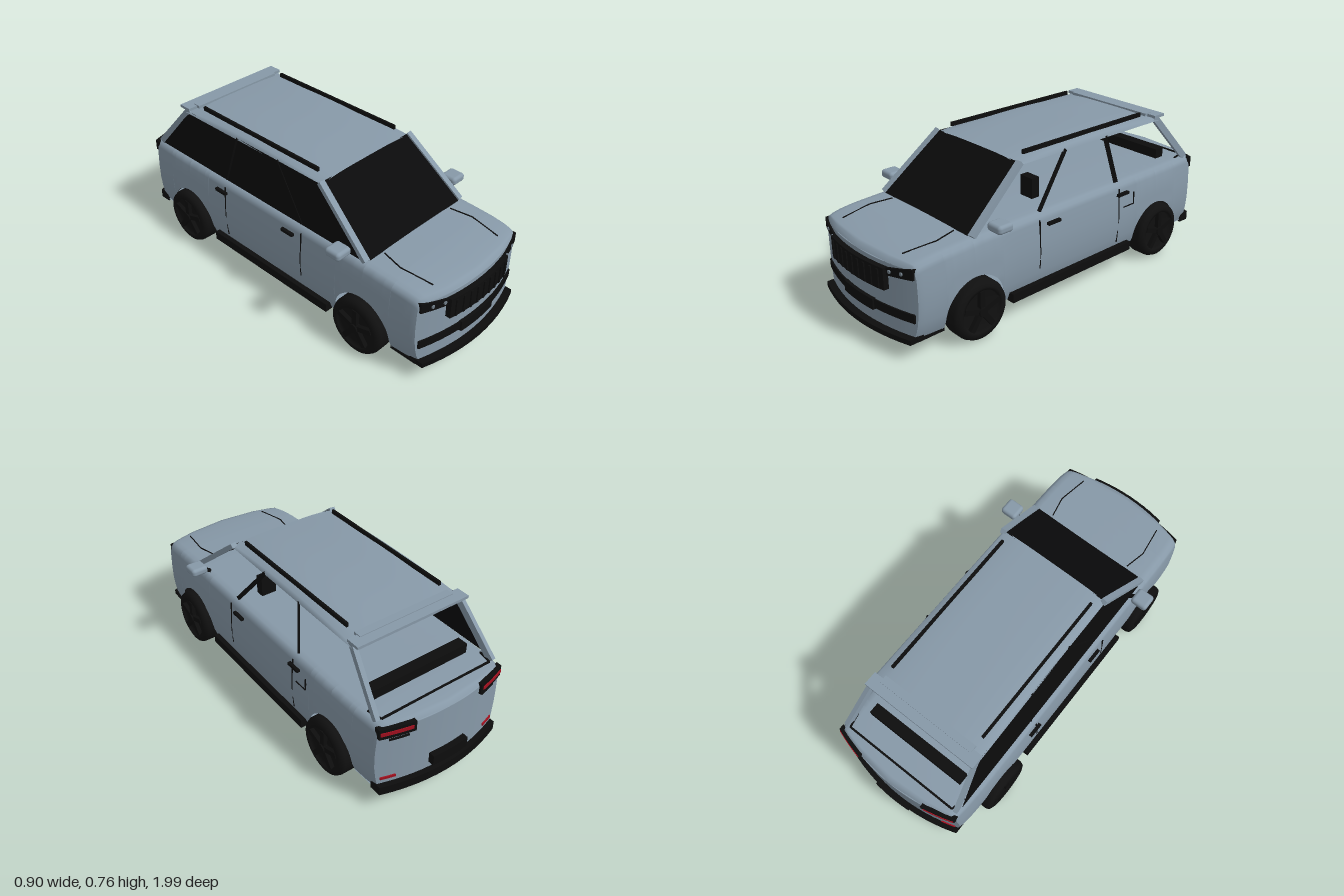
import * as THREE from 'three';
import { RoundedBoxGeometry } from 'three/addons/geometries/RoundedBoxGeometry.js';

const mat = (name, color, side = THREE.FrontSide) => {
  const m = new THREE.MeshStandardMaterial({ color, side });
  m.name = name;
  return m;
};
const paint = mat('blueGreyPaint', 0x8799a8, THREE.DoubleSide);
const black = mat('blackTrim', 0x0d0d0d);
const glass = mat('darkGlass', 0x0a0a0b, THREE.DoubleSide);
const rubber = mat('tyreRubber', 0x101010);
const red = mat('redLamp', 0xa3101f);
const lamp = mat('lampLens', 0x6f7c86);

const WHEEL_Y = 0.145, ARCHES = [[0.6, 0.16], [-0.6, 0.153]];
const { lerp, clamp } = THREE.MathUtils;

// Piecewise linear lookup through [key, value] pairs
function table(pairs, t) {
  if (t <= pairs[0][0]) return pairs[0][1];
  for (let i = 1; i < pairs.length; i++) {
    const [k0, v0] = pairs[i - 1], [k1, v1] = pairs[i];
    if (t <= k1) return lerp(v0, v1, (t - k0) / (k1 - k0));
  }
  return pairs[pairs.length - 1][1];
}

// Surface through equal-length rows of [x, y, z] points
function grid(rows) {
  const n = rows[0].length, index = [];
  for (let i = 0; i < rows.length - 1; i++)
    for (let j = 0; j < n - 1; j++) {
      const a = i * n + j, b = a + n;
      index.push(a, b, a + 1, b, b + 1, a + 1);
    }
  const g = new THREE.BufferGeometry();
  g.setAttribute('position', new THREE.Float32BufferAttribute(rows.flat(2), 3));
  g.setIndex(index);
  g.computeVertexNormals();
  return g;
}

// Plan-view bow of the nose and tail
function bowZ(x, z) {
  const s = clamp((Math.abs(z) - 0.76) / 0.2, 0, 1);
  return z - Math.sign(z) * 0.065 * s * s * (x / 0.36) ** 2;
}

const topY = z => table([[-0.96, 0.45], [-0.945, 0.472], [-0.87, 0.48], [0.55, 0.48],
  [0.75, 0.472], [0.88, 0.462], [0.945, 0.45], [0.96, 0.43]], z);
const sideX = y => table([[0.1, 0.345], [0.15, 0.364], [0.25, 0.376], [0.38, 0.374], [0.45, 0.364]], y);

// Right half of the body section at z, from the lower edge to the centre line
function section(z) {
  let low = 0.1;
  for (const [c, r] of ARCHES) {
    const d = Math.abs(z - c);
    if (d <= r) low = WHEEL_Y + Math.sqrt(r * r - d * d);
  }
  const top = topY(z), shoulder = top - 0.04, taper = 1 - 0.05 * Math.abs(z / 0.96) ** 8;
  const pts = [0, 0.12, 0.25, 0.45, 0.7, 1].map(f => {
    const y = lerp(low, shoulder, f);
    return [sideX(y) * taper, y];
  });
  const w = pts[5][0];
  return [...pts, [w - 0.007, top - 0.018], [w - 0.024, top - 0.006], [w - 0.05, top - 0.002],
    [0.2, top + 0.001], [0, top + 0.002]];
}

function bodyShell() {
  const zs = [];
  for (let i = 0; i <= 32; i++) zs.push(-0.96 + i * 0.06);
  zs.push(-0.945, 0.945, 0.93, -0.93);
  for (const [c, r] of ARCHES) {
    zs.push(c - r - 0.0005, c + r + 0.0005);
    for (let i = 0; i <= 20; i++) zs.push(c + r * Math.cos(i * Math.PI / 20));
  }
  zs.sort((a, b) => a - b);
  return grid(zs.map(z => {
    const h = section(z);
    return [...h, ...h.slice(0, -1).reverse().map(([x, y]) => [-x, y])].map(([x, y]) => [x, y, bowZ(x, z)]);
  }));
}

// Nose or tail face closing the shell
function endFace(z) {
  return grid(section(z).map(([x, y]) => {
    const row = [];
    for (let k = -8; k <= 8; k++) row.push([x * k / 8 * Math.sign(-z), y, bowZ(x * k / 8, z)]);
    return row;
  }));
}

// Plate on the nose (end = 1) or tail (end = -1), following the bow
// quad: lower x0, lower x1, upper x1, upper x0 corners as [x, y]
function panelGeometry([a, b, c, d], depth, end, proud) {
  const g = new THREE.BoxGeometry(1, 1, 1, 12, 1, 1), p = g.attributes.position;
  for (let i = 0; i < p.count; i++) {
    const u = p.getX(i) + 0.5, v = p.getY(i) + 0.5;
    const x = lerp(lerp(a[0], b[0], u), lerp(d[0], c[0], u), v);
    const y = lerp(lerp(a[1], b[1], u), lerp(d[1], c[1], u), v);
    const out = p.getZ(i) * end > 0 ? proud : proud - depth;
    p.setXYZ(i, x, y, bowZ(x, 0.96 * end) + end * out);
  }
  g.computeVertexNormals();
  return g;
}
const rect = (x0, x1, y0, y1) => [[x0, y0], [x1, y0], [x1, y1], [x0, y1]];

function floorGeometry() {
  const right = [[0.34, -0.9]];
  for (const [c, r] of [...ARCHES].reverse())
    right.push([0.345, c - r], [0.27, c - r], [0.27, c + r], [0.345, c + r]);
  right.push([0.335, 0.9], [0.2, 0.94]);
  const all = [[0.2, -0.94], ...right];
  const outline = [...all, ...all.map(([x, z]) => [-x, z]).reverse()];
  const g = new THREE.ShapeGeometry(new THREE.Shape(outline.map(([x, z]) => new THREE.Vector2(x, z))));
  return g.rotateX(Math.PI / 2).translate(0, 0.1, 0);
}

function roofGeometry() {
  const rows = [];
  for (let i = 0; i <= 14; i++) {
    const z = lerp(-0.67, 0.29, i / 14), crown = 0.735 + 0.02 * (1 - ((z + 0.19) / 0.48) ** 2);
    const half = lerp(0.3, 0.292, i / 14), row = [[half + 0.01, 0.715, z]];
    for (let k = 6; k >= -6; k--) row.push([half * k / 6, crown - 0.014 * (k / 6) ** 4, z]);
    row.push([-half - 0.01, 0.715, z]);
    rows.push(row);
  }
  return grid(rows);
}

function makeWheel() {
  const wheel = new THREE.Group();
  const add = (name, geo, material) => {
    const m = new THREE.Mesh(geo, material);
    m.name = name;
    wheel.add(m);
    return m;
  };
  // Profile as [radius, distance along the axle]
  const profile = [[0, -0.06], [0.125, -0.06], [0.139, -0.05], [0.145, -0.03], [0.145, 0.035],
    [0.138, 0.052], [0.118, 0.06], [0.104, 0.058], [0.1, 0.04], [0, 0.04]];
  add('tyre', new THREE.LatheGeometry(profile.map(p => new THREE.Vector2(...p)), 32).rotateZ(-Math.PI / 2), rubber);
  add('hub', new THREE.CylinderGeometry(0.022, 0.026, 0.03, 16).rotateZ(-Math.PI / 2).translate(0.053, 0, 0), black);
  for (let i = 0; i < 5; i++)
    add('spoke', new THREE.BoxGeometry(0.022, 0.088, 0.026).translate(0.05, 0.058, 0), black)
      .rotation.x = i * Math.PI * 2 / 5;
  return wheel;
}

export function createModel() {
  const car = new THREE.Group();
  car.name = 'car';
  const add = (name, geo, material, x = 0, y = 0, z = 0) => {
    const m = new THREE.Mesh(geo, material);
    m.name = name;
    m.position.set(x, y, z);
    car.add(m);
    return m;
  };
  const box = (name, material, w, h, d, x, y, z) => add(name, new THREE.BoxGeometry(w, h, d), material, x, y, z);
  const bar = (name, material, a, b, w, h) => {
    const p = new THREE.Vector3(...a), q = new THREE.Vector3(...b);
    const m = add(name, new THREE.BoxGeometry(w, h, p.distanceTo(q)), material);
    m.position.lerpVectors(p, q, 0.5);
    m.lookAt(q);
  };
  const panel = (name, material, quad, depth, end, proud) =>
    add(name, panelGeometry(quad, depth, end, proud), material);

  // Body and roof
  add('bodyShell', bodyShell(), paint);
  add('noseFace', endFace(0.96), paint);
  add('tailFace', endFace(-0.96), paint);
  add('floor', floorGeometry(), paint);
  add('roof', roofGeometry(), paint);
  box('spoiler', paint, 0.62, 0.014, 0.07, 0, 0.737, -0.668);
  box('spoilerCentre', paint, 0.52, 0.014, 0.04, 0, 0.741, -0.635);

  // Glass: windscreen and the right side window
  add('windscreen', grid([[[-0.315, 0.478, 0.598], [0.315, 0.478, 0.598]],
    [[-0.285, 0.73, 0.285], [0.285, 0.73, 0.285]]]), glass);
  add('sideGlass', grid([[[-0.343, 0.478, 0.56], [-0.343, 0.478, -0.84]],
    [[-0.304, 0.722, 0.28], [-0.304, 0.722, -0.64]]]), glass);

  // Nose
  panel('grille', black, rect(-0.207, 0.207, 0.305, 0.41), 0.035, 1, 0.025);
  for (let i = -4; i <= 4; i++)
    panel('grilleSlat', black, rect(i * 0.044 - 0.006, i * 0.044 + 0.006, 0.31, 0.4), 0.008, 1, 0.031);
  panel('lowerIntake', black, rect(-0.34, 0.34, 0.18, 0.222), 0.02, 1, 0.008);
  panel('intakeCentre', black, rect(-0.115, 0.115, 0.172, 0.226), 0.02, 1, 0.016);
  panel('frontLip', black, rect(-0.34, 0.34, 0.085, 0.11), 0.07, 1, 0.035);

  // Tail
  panel('rearBumper', black, rect(-0.345, 0.345, 0.088, 0.135), 0.06, -1, 0.026);
  panel('rearPlate', black, rect(-0.1, 0.1, 0.175, 0.23), 0.03, -1, 0.035);
  box('parcelShelf', black, 0.54, 0.05, 0.055, 0, 0.507, -0.738);
  box('tailgateSeam', black, 0.62, 0.006, 0.01, 0, 0.481, -0.872);
  box('headrest', black, 0.08, 0.1, 0.045, 0.21, 0.55, 0.14);

  for (const s of [1, -1]) {
    const mirrored = quad => s > 0 ? quad : [quad[1], quad[0], quad[3], quad[2]].map(([x, y]) => [-x, y]);

    // Pillars and roof rails
    bar('frontPillar', paint, [s * 0.332, 0.475, 0.59], [s * 0.297, 0.728, 0.28], 0.03, 0.025);
    bar('rearPillar', paint, [s * 0.33, 0.475, -0.865], [s * 0.295, 0.73, -0.645], 0.022, 0.035);
    bar('middlePillar', black, [s * 0.338, 0.478, 0.2], [s * 0.3, 0.72, 0], 0.01, 0.02);
    bar('backDoorPillar', black, [s * 0.338, 0.478, -0.32], [s * 0.3, 0.72, -0.27], 0.01, 0.022);
    box('roofRail', black, 0.012, 0.02, 0.8, s * 0.26, 0.754, -0.17);

    // Door mirror
    add('mirror', new RoundedBoxGeometry(0.088, 0.042, 0.085, 3, 0.016), paint, s * 0.406, 0.521, 0.49);
    bar('mirrorStalk', black, [s * 0.335, 0.49, 0.48], [s * 0.38, 0.515, 0.49], 0.018, 0.014);

    // Side trim
    box('sill', black, 0.04, 0.045, 0.8, s * 0.366, 0.118, 0);
    box('lipSide', black, 0.012, 0.014, 0.14, s * 0.338, 0.094, 0.83);
    for (const z of [0.14, -0.335]) box('doorHandle', black, 0.016, 0.014, 0.075, s * 0.378, 0.422, z);
    for (const [z, low] of [[0.222, 0.205], [-0.315, 0.16]]) {
      bar('doorSeam', black, [s * 0.374, 0.3, z], [s * 0.368, 0.45, z], 0.005, 0.006);
      bar('doorSeam', black, [s * sideX(low), low, z], [s * 0.375, 0.3, z], 0.005, 0.006);
    }
    bar('bonnetSeam', black, [s * 0.235, 0.48, 0.61], [s * 0.258, 0.475, 0.72], 0.005, 0.004);
    bar('bonnetSeam', black, [s * 0.258, 0.475, 0.72], [s * 0.235, 0.462, 0.88], 0.005, 0.004);
    bar('tailgateSeamSide', black, [s * 0.31, 0.481, -0.872], [s * 0.325, 0.48, -0.8], 0.008, 0.006);

    // Headlamps
    panel('headlamp', black, mirrored([[0.2, 0.372], [0.345, 0.387], [0.345, 0.437], [0.2, 0.408]]), 0.02, 1, 0.009);
    for (const [x, y] of [[0.225, 0.395], [0.288, 0.403]])
      add('headlampLens', new THREE.CylinderGeometry(0.009, 0.009, 0.008, 16).rotateX(Math.PI / 2),
        lamp, s * x, y, bowZ(x, 0.96) + 0.009);

    // Tail lamps
    panel('tailLamp', black, mirrored(rect(0.185, 0.35, 0.41, 0.465)), 0.03, -1, 0.012);
    panel('tailLampStripe', red, mirrored(rect(0.2, 0.346, 0.43, 0.448)), 0.008, -1, 0.016);
    panel('tailTrim', black, mirrored(rect(0.21, 0.3, 0.385, 0.395)), 0.008, -1, 0.005);
    panel('reflector', red, mirrored(rect(0.26, 0.33, 0.16, 0.172)), 0.009, -1, 0.006);

    // Wheels
    for (const [z] of ARCHES) {
      const wheel = makeWheel();
      wheel.name = z > 0 ? 'frontWheel' : 'rearWheel';
      wheel.position.set(s * 0.352, WHEEL_Y, z);
      if (s < 0) wheel.rotation.y = Math.PI;
      car.add(wheel);
    }
  }

  // Fuel flap outline
  box('fuelFlapSeam', black, 0.005, 0.005, 0.075, 0.375, 0.345, -0.385);
  box('fuelFlapSeam', black, 0.005, 0.06, 0.005, 0.374, 0.377, -0.422);
  return car;
}
